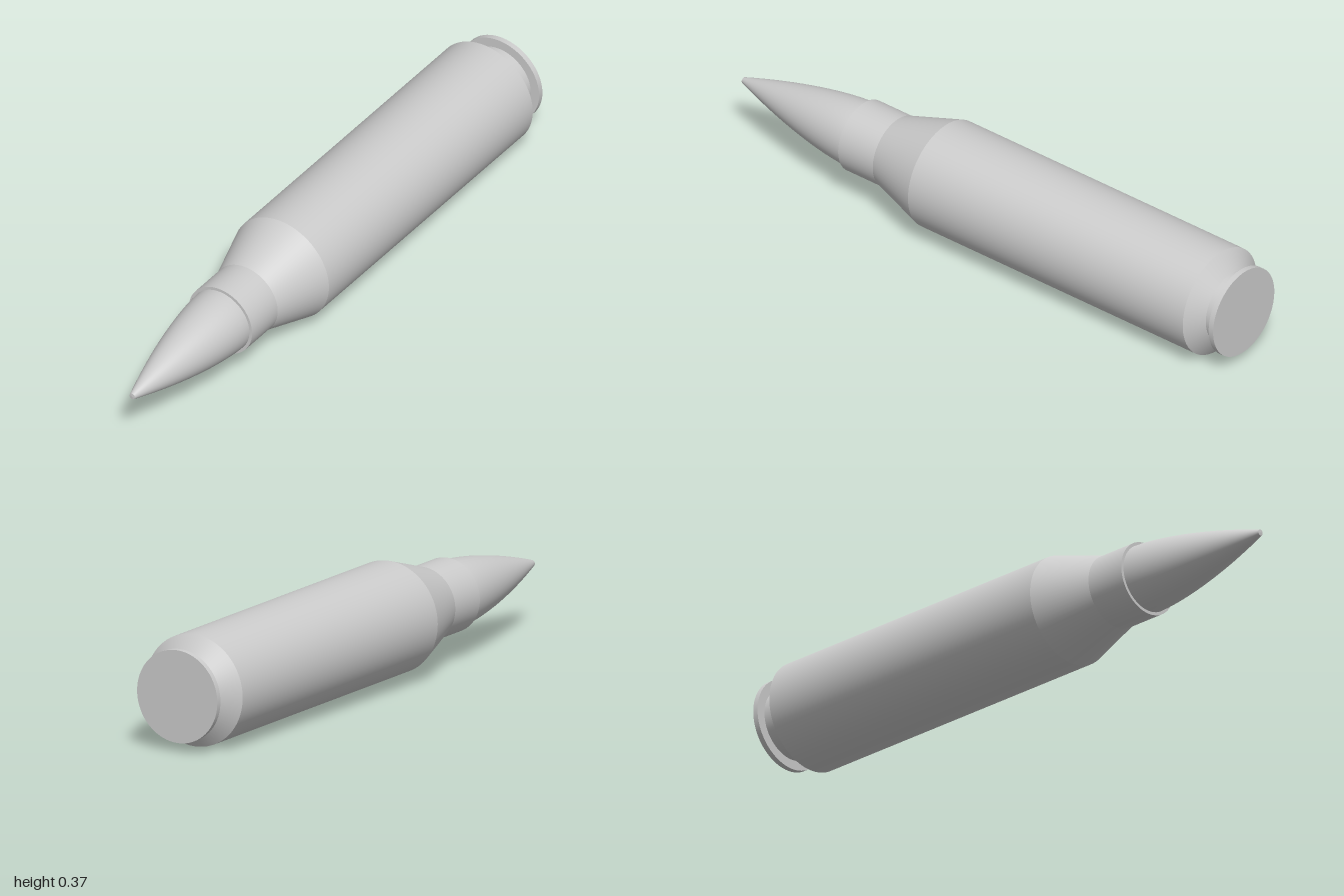
import * as THREE from 'three';
import { mergeGeometries } from 'three/addons/utils/BufferGeometryUtils.js';

const material = new THREE.MeshStandardMaterial({ color: 0xcccccc });
const SIDES = 72;

// Revolve [radius, z] points around the z axis, smooth along the profile.
function revolve(profile) {
  const points = profile.map(([r, z]) => new THREE.Vector2(r, z));
  return new THREE.LatheGeometry(points, SIDES).rotateX(Math.PI / 2);
}

// Revolve each span on its own so the edges between spans stay sharp.
function revolveSharp(profile) {
  return mergeGeometries(profile.slice(1).map((p, i) => revolve([profile[i], p])));
}

function addPart(group, name, geometry) {
  const mesh = new THREE.Mesh(geometry, material);
  mesh.name = name;
  group.add(mesh);
}

export function createModel() {
  const model = new THREE.Group();
  model.name = 'cartridge';
  const round = new THREE.Group();
  round.name = 'round';
  model.add(round);

  // Flat disc at the base
  addPart(round, 'rim', revolveSharp([
    [0, -0.998], [0.147, -0.998], [0.147, -0.98], [0.116, -0.98],
  ]));

  // Narrow groove ahead of the rim
  addPart(round, 'extractorGroove', revolveSharp([[0.116, -0.98], [0.116, -0.943]]));

  // Flare, straight body, shoulder and neck with its open mouth
  addPart(round, 'case', revolveSharp([
    [0.116, -0.943], [0.1775, -0.902], [0.1775, 0.195],
    [0.118, 0.385], [0.118, 0.523], [0.107, 0.523],
  ]));

  // Pointed bullet with a tiny flat tip
  const ogive = [[0.108, 0.45]];
  for (let i = 0; i <= 16; i++) {
    const t = i / 16;
    ogive.push([0.108 - 0.098 * t ** 1.55, 0.523 + 0.475 * t]);
  }
  addPart(round, 'bullet', mergeGeometries([
    revolve(ogive), revolve([[0.01, 0.998], [0, 0.999]]),
  ]));

  // The whole round leans slightly up and to its left
  round.quaternion.setFromUnitVectors(
    new THREE.Vector3(0, 0, 1), new THREE.Vector3(0.015, 0.0113, 1).normalize());
  round.position.set(0.004, 0.1907, 0);
  return model;
}
